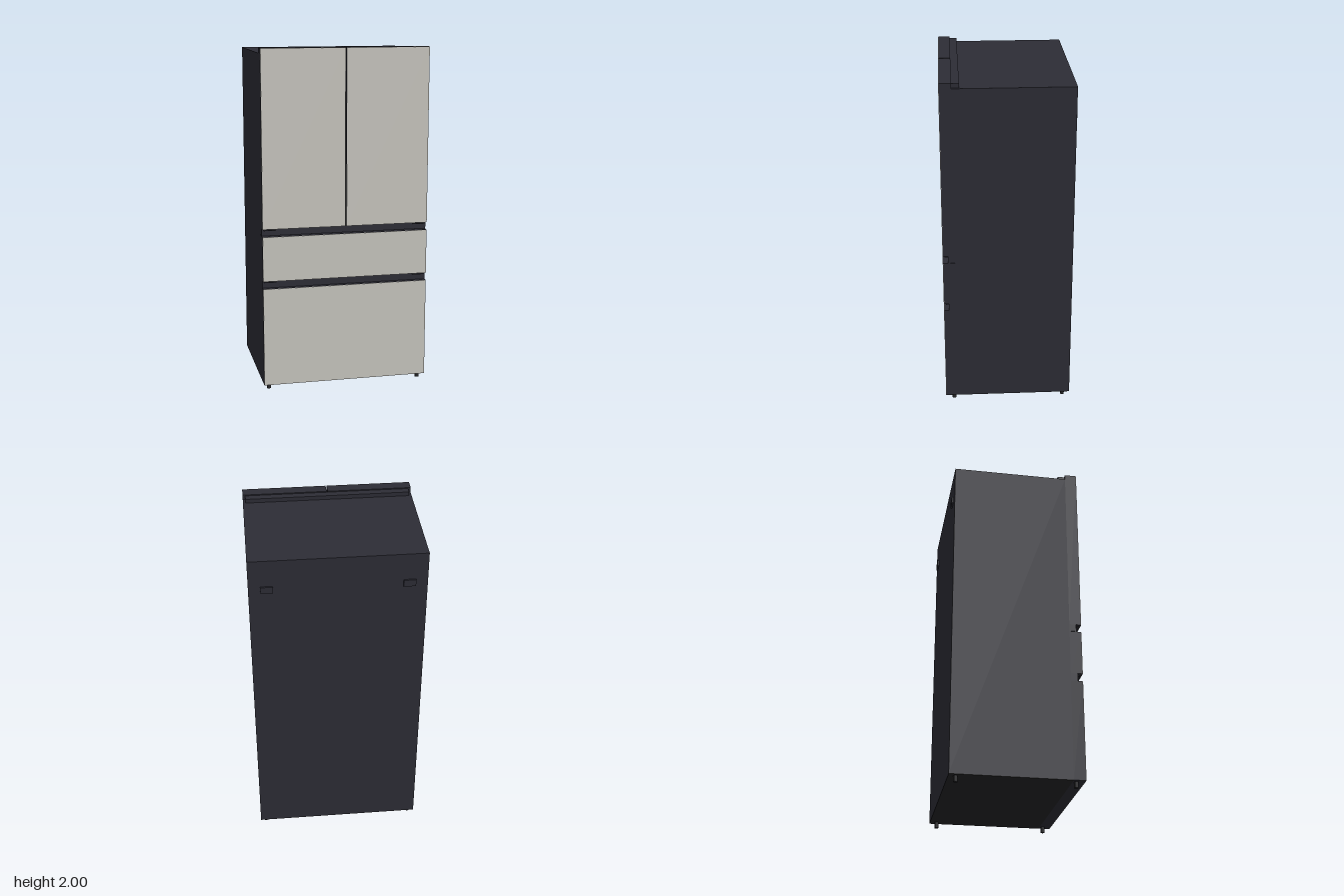
import * as THREE from 'three';

export function createModel() {
  const model = new THREE.Group();
  model.name = 'refrigerator';

  const mat = (name, color) => {
    const m = new THREE.MeshStandardMaterial({ color });
    m.name = name;
    return m;
  };
  const charcoal = mat('charcoal body', 0x2d2d36);
  const stone = mat('stone grey panel', 0xc9c7c0);
  const black = mat('black plastic', 0x262628);

  // Box given by its limits on each axis
  const box = (name, material, [x0, x1], [y0, y1], [z0, z1], parent = model) => {
    const mesh = new THREE.Mesh(new THREE.BoxGeometry(x1 - x0, y1 - y0, z1 - z0), material);
    mesh.position.set((x0 + x1) / 2, (y0 + y1) / 2, (z0 + z1) / 2);
    mesh.name = name;
    parent.add(mesh);
    return mesh;
  };

  const W = 0.49, FRONT = 0.38, DOOR_BACK = 0.31;

  // Cabinet and its underside
  box('cabinet', charcoal, [-W, W], [0.037, 1.97], [-0.37, DOOR_BACK]);
  box('basePlate', black, [-W, W], [0.034, 0.037], [-0.37, DOOR_BACK]);

  // A door or drawer: dark slab with a thin coloured face
  const door = (name, x0, x1, y0, y1) => {
    const g = new THREE.Group();
    g.name = name;
    box('doorSlab', charcoal, [x0, x1], [y0, y1], [DOOR_BACK, FRONT - 0.003], g);
    box('facePanel', stone, [x0 + 0.001, x1 - 0.001], [y0, y1 - 0.001], [FRONT - 0.003, FRONT], g);
    model.add(g);
  };
  door('rightDoor', -W, -0.003, 0.973, 2);
  door('leftDoor', 0.003, W, 0.973, 2);
  door('middleDrawer', -W, W, 0.665, 0.928);
  door('bottomDrawer', -W, W, 0.035, 0.62);

  // Recessed grip channels between the doors and drawers
  for (const [y0, y1] of [[0.93, 0.973], [0.62, 0.665]]) {
    box('gripRecess', charcoal, [-W, W], [y0, y1], [DOOR_BACK, 0.35]);
    for (const s of [-1, 1]) {
      const x = s * 0.445;
      box('gripEndLip', charcoal, [x - 0.035, x + 0.035], [y1 - 0.011, y1 - 0.006], [0.35, 0.368]);
    }
  }

  // Hinge cover along the top, behind the doors
  box('hingeCover', charcoal, [-0.475, 0.475], [1.97, 1.994], [0.268, DOOR_BACK]);

  for (const s of [-1, 1]) {
    // Wall spacers on the back
    box('wallSpacer', charcoal, [s * 0.39 - 0.034, s * 0.39 + 0.034], [1.77, 1.81], [-0.38, -0.37]);
    // Levelling feet
    for (const z of [-0.33, 0.33]) {
      const foot = new THREE.Mesh(new THREE.CylinderGeometry(0.012, 0.012, 0.036, 16), black);
      foot.position.set(s * 0.457, 0.018, z);
      foot.name = 'foot';
      model.add(foot);
    }
  }
  return model;
}
